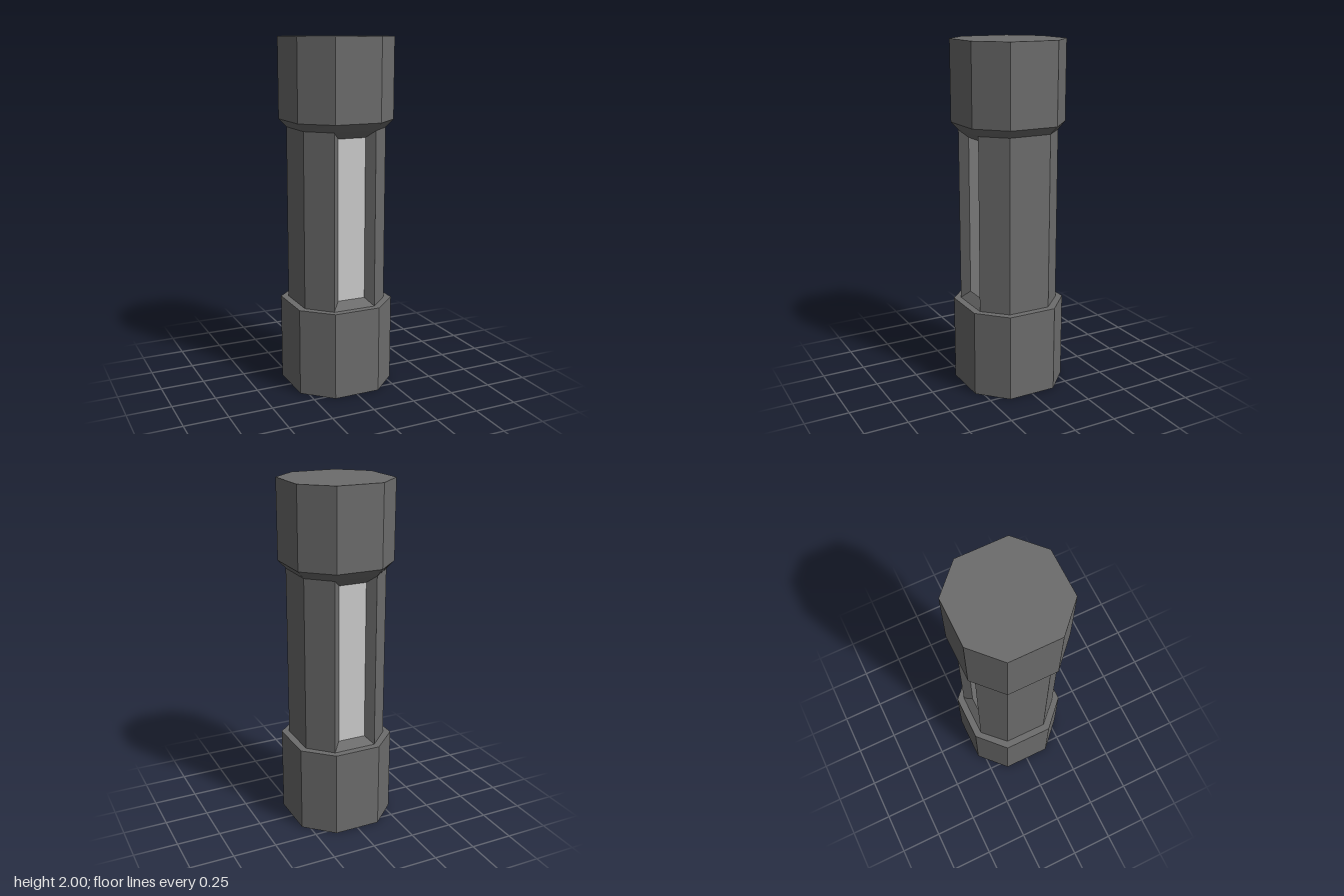
import * as THREE from 'three';

const dark = new THREE.MeshStandardMaterial({ color: 0x6c6c6c, flatShading: true });
const pale = new THREE.MeshStandardMaterial({ color: 0xcccccc, flatShading: true });

// Eight corners, counter-clockwise seen from above, starting at the front face
function octagon(y, half, flatX, flatZ) {
  return [
    [-flatX, half], [flatX, half], [half, flatZ], [half, -flatZ],
    [flatX, -half], [-flatX, -half], [-half, -flatZ], [-half, flatZ],
  ].map(([x, z]) => new THREE.Vector3(x, y, z));
}

// Mesh of convex polygons, each fanned from its first corner
function polyMesh(name, polygons, material) {
  const points = [];
  for (const p of polygons)
    for (let i = 1; i < p.length - 1; i++) points.push(p[0], p[i], p[i + 1]);
  const geometry = new THREE.BufferGeometry().setFromPoints(points);
  geometry.computeVertexNormals();
  const mesh = new THREE.Mesh(geometry, material);
  mesh.name = name;
  return mesh;
}

// Quads between two loops; skip leaves chosen sides open
function band(lower, upper, skip = []) {
  const n = lower.length;
  return lower
    .map((p, i) => [p, lower[(i + 1) % n], upper[(i + 1) % n], upper[i]])
    .filter((_, i) => !skip.includes(i));
}

// Upright rectangle facing +z
function rectangle(halfX, y0, y1, z) {
  return [[-halfX, y0], [halfX, y0], [halfX, y1], [-halfX, y1]]
    .map(([x, y]) => new THREE.Vector3(x, y, z));
}

export function createModel() {
  const group = new THREE.Group();
  group.name = 'canister';

  // Bottom cap with a flat ledge
  const base = octagon(0, 0.29, 0.135, 0.143);
  const ledge = octagon(0.5, 0.29, 0.135, 0.143);
  group.add(polyMesh('bottomCap', [[...base].reverse(), ...band(base, ledge), ledge], dark));

  // Top cap with a sloped underside
  const neck = octagon(1.5, 0.25, 0.125, 0.125);
  const rim = octagon(1.545, 0.29, 0.135, 0.143);
  const top = octagon(2, 0.29, 0.135, 0.143);
  group.add(polyMesh('topCap', [[...neck].reverse(), ...band(neck, rim), ...band(rim, top), top], dark));

  // Body, left open at the front and back for the windows
  group.add(polyMesh('body', band(octagon(0.5, 0.25, 0.125, 0.125), neck, [0, 4]), dark));

  // Recessed windows with bevelled frames
  for (const [side, turn] of [['front', 0], ['back', Math.PI]]) {
    const outer = rectangle(0.125, 0.5, 1.5, 0.25);
    const inner = rectangle(0.082, 0.545, 1.46, 0.207);
    const frame = polyMesh(side + 'WindowFrame', band(outer, inner), dark);
    const pane = polyMesh(side + 'WindowPane', [inner], pale);
    frame.rotation.y = pane.rotation.y = turn;
    group.add(frame, pane);
  }
  return group;
}
